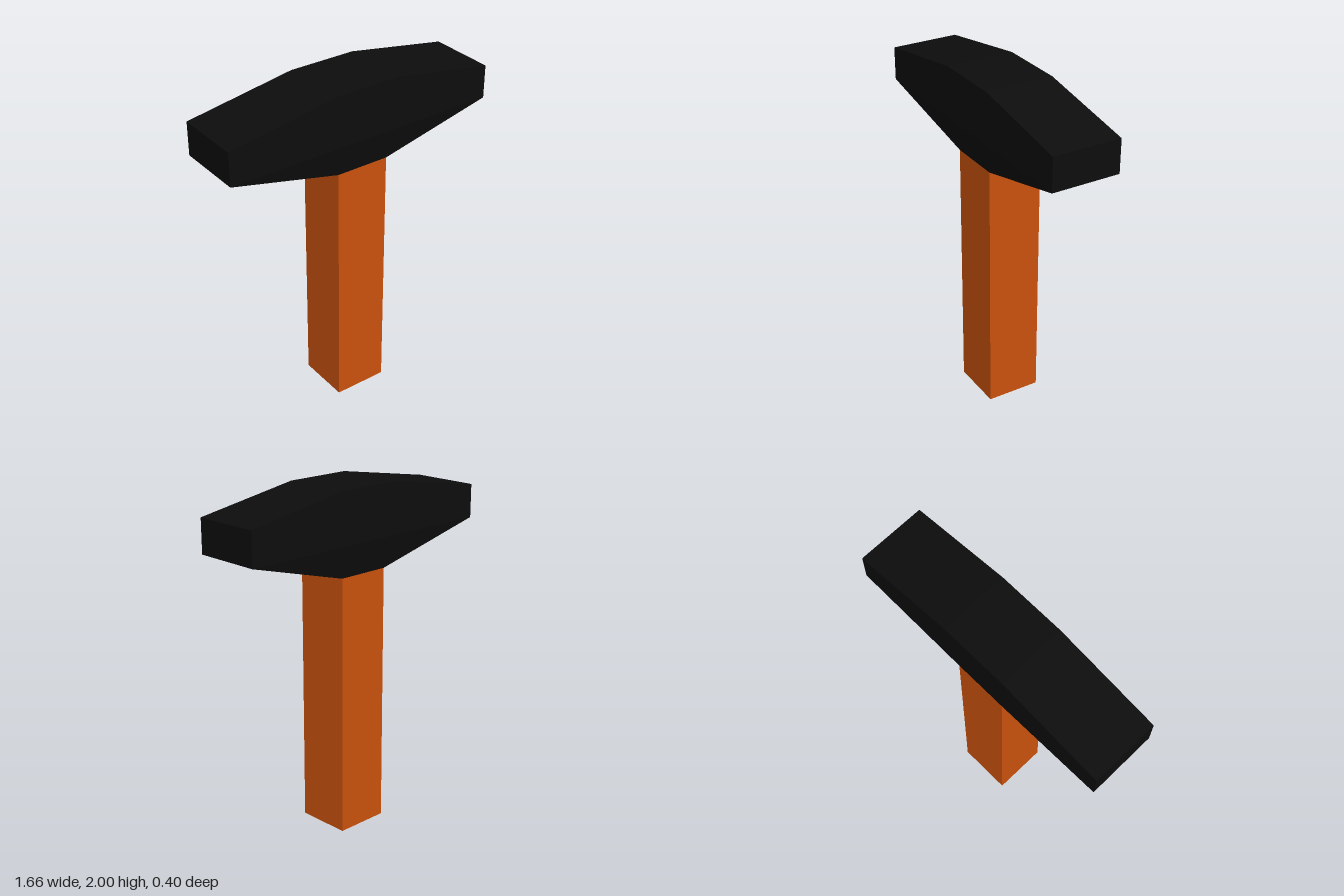
import * as THREE from 'three';
import { ConvexGeometry } from 'three/addons/geometries/ConvexGeometry.js';

export function createModel() {
  const group = new THREE.Group();
  const add = (name, geometry, color) => {
    const mesh = new THREE.Mesh(geometry, new THREE.MeshStandardMaterial({ color, flatShading: true }));
    mesh.name = name;
    group.add(mesh);
    return mesh;
  };

  // Square handle, set slightly off the middle of the head
  add('handle', new THREE.BoxGeometry(0.32, 1.515, 0.32), 0xcc520e).position.set(0.015, 0.7575, 0);

  // Faceted head: outline corners [x, y, half depth], mirrored front to back
  const outline = [
    [-0.83, 1.70, 0.2], [-0.83, 1.895, 0.2], [-0.19, 2, 0.2], [0.21, 2, 0.2],
    [0.83, 1.895, 0.2], [0.83, 1.70, 0.2], [0.175, 1.515, 0.16], [-0.145, 1.515, 0.16],
  ];
  const corners = outline.flatMap(([x, y, d]) => [new THREE.Vector3(x, y, d), new THREE.Vector3(x, y, -d)]);
  add('head', new ConvexGeometry(corners), 0x0d0d0d);

  return group;
}
